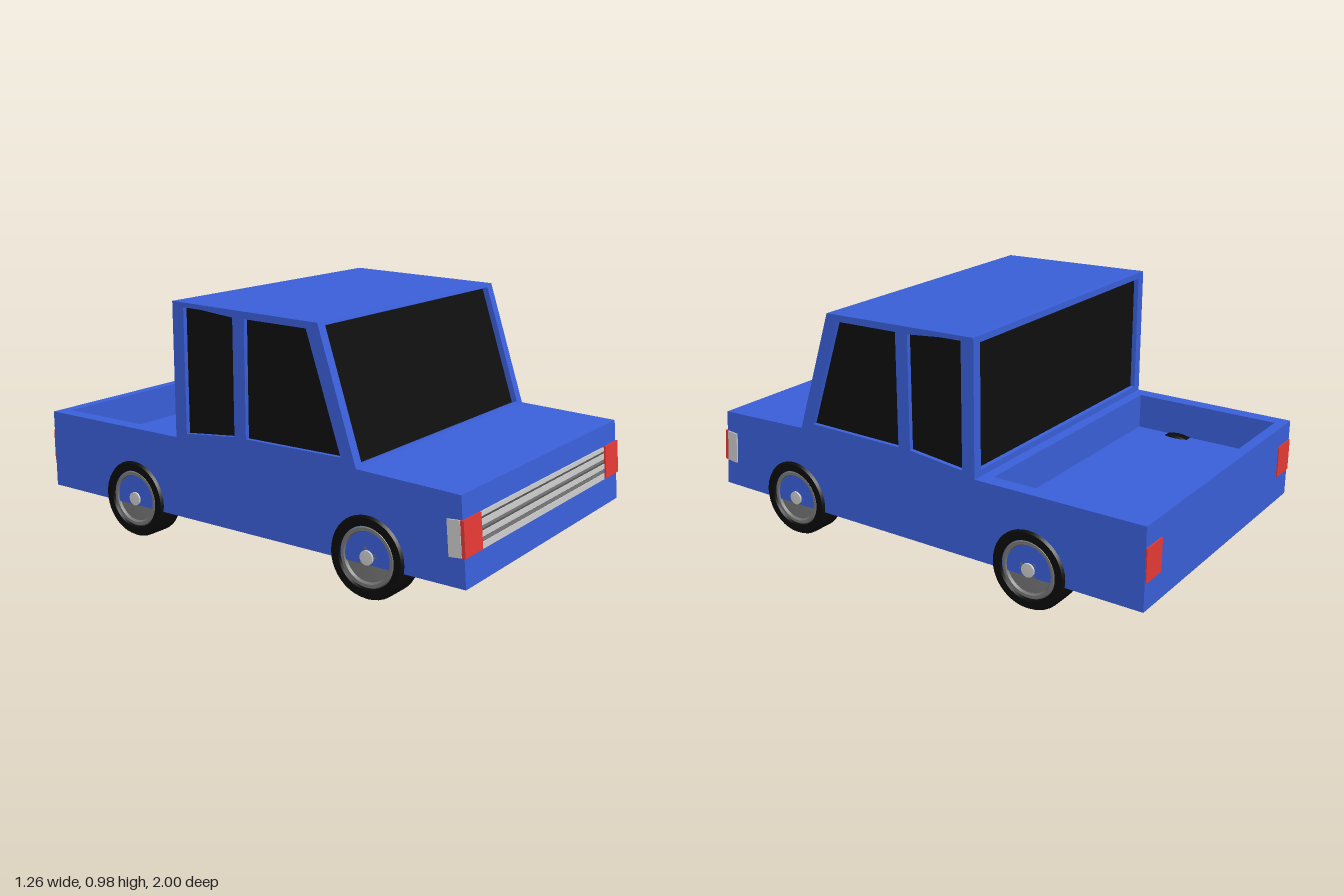
import * as THREE from 'three';
import { toCreasedNormals } from 'three/addons/utils/BufferGeometryUtils.js';

const paint = (color, extra = {}) => new THREE.MeshStandardMaterial({ color, ...extra });
const BLUE = paint(0x3a5fd9), GLASS = paint(0x0e0e0e), RUBBER = paint(0x0b0b0b);
const RED = paint(0xe53935), LIGHT = paint(0xcccccc), MID = paint(0x777777), DARK = paint(0x555555);
const HW = 0.615; // half width of the body

const shapeOf = (pts) => new THREE.Shape(pts.map(([a, b]) => new THREE.Vector2(a, b)));

function add(parent, name, geometry, material) {
  const mesh = new THREE.Mesh(geometry, material);
  mesh.name = name;
  parent.add(mesh);
  return mesh;
}

function box(parent, name, material, [w, h, d], [x, y, z]) {
  const mesh = add(parent, name, new THREE.BoxGeometry(w, h, d), material);
  mesh.position.set(x, y, z);
  return mesh;
}

// Side outline given as [z, y], swept across the car from x0 to x1
function sweep(parent, name, material, pts, x0, x1, holes = []) {
  const shape = shapeOf(pts);
  shape.holes = holes.map(shapeOf);
  const geo = new THREE.ExtrudeGeometry(shape, { depth: x1 - x0, bevelEnabled: false });
  geo.rotateY(-Math.PI / 2).translate(x1, 0, 0);
  return add(parent, name, geo, material);
}

// Flat window surround whose outer face lies on its local z = 0
function windowFrame(parent, name, height, halfHole, low, high) {
  const shape = shapeOf([[-HW, 0], [HW, 0], [HW, height], [-HW, height]]);
  shape.holes = [shapeOf([[-halfHole, low], [halfHole, low], [halfHole, high], [-halfHole, high]])];
  const geo = new THREE.ExtrudeGeometry(shape, { depth: 0.024, bevelEnabled: false });
  return add(parent, name, geo.translate(0, 0, -0.024), BLUE);
}

function lathe(parent, name, material, pts) {
  const geo = new THREE.LatheGeometry(pts.map(([r, y]) => new THREE.Vector2(r, y)), 40);
  return add(parent, name, toCreasedNormals(geo, 0.5), material);
}

// Wheel with its axis on local y, outer face at the top
function makeWheel(name) {
  const wheel = new THREE.Group();
  wheel.name = name;
  lathe(wheel, 'tyre', RUBBER, [[0, 0], [0.148, 0], [0.157, 0.01], [0.157, 0.1], [0.148, 0.115], [0.118, 0.115], [0.114, 0.1]]);
  lathe(wheel, 'rim', MID, [[0.116, 0.1], [0.11, 0.109], [0.098, 0.109], [0.092, 0.1], [0.04, 0.104], [0, 0.104]]);
  lathe(wheel, 'hubCap', LIGHT, [[0.027, 0.1], [0.027, 0.112], [0, 0.113]]);
  return wheel;
}

export function createModel() {
  const root = new THREE.Group();
  root.name = 'pickupTruck';
  const car = new THREE.Group();
  car.name = 'truck';
  car.position.x = -0.006;
  car.rotation.y = 0.005;
  root.add(car);

  // Lower body with a notch for the load bed, closed by the bed sides
  sweep(car, 'lowerBody', BLUE, [
    [0.998, 0.13], [0.97, 0.455], [0.55, 0.47], [0.52, 0.455], [-0.295, 0.45], [-0.338, 0.45],
    [-0.338, 0.305], [-0.952, 0.305], [-0.952, 0.45], [-0.995, 0.45], [-0.995, 0.13],
  ], -HW, HW);
  for (const s of [-1, 1]) {
    box(car, s > 0 ? 'leftBedSide' : 'rightBedSide', BLUE, [0.06, 0.145, 0.614], [s * (HW - 0.03), 0.3775, -0.645]);
  }

  // Cab: dark glazed core behind painted surrounds
  sweep(car, 'cabGlass', GLASS, [[0.522, 0.455], [0.36, 0.95], [-0.275, 0.965], [-0.275, 0.45]], -HW + 0.018, HW - 0.018);
  const cabSide = [[0.55, 0.47], [0.385, 0.965], [-0.295, 0.98], [-0.295, 0.45], [0.52, 0.455]];
  const sideWindows = [
    [[0.485, 0.5], [0.335, 0.94], [0.055, 0.945], [0.055, 0.497]],
    [[0, 0.497], [0, 0.945], [-0.24, 0.967], [-0.24, 0.472]],
  ];
  sweep(car, 'leftCabSide', BLUE, cabSide, HW - 0.02, HW, sideWindows);
  sweep(car, 'rightCabSide', BLUE, cabSide, -HW, -HW + 0.02, sideWindows);
  sweep(car, 'roof', BLUE, [[0.385, 0.965], [-0.295, 0.98], [-0.295, 0.962], [0.375, 0.947]], -HW, HW);

  const windshield = windowFrame(car, 'windshieldFrame', Math.hypot(0.165, 0.495), 0.575, 0.012, 0.508);
  windshield.position.set(0, 0.47, 0.55);
  windshield.rotation.x = -Math.atan2(0.165, 0.495);
  const rearWindow = windowFrame(car, 'rearWindowFrame', 0.53, 0.575, 0.025, 0.505);
  rearWindow.position.set(0, 0.45, -0.295);
  rearWindow.rotation.y = Math.PI;

  // Front face: grille slats and lamps on the leaning nose
  const nose = new THREE.Group();
  nose.name = 'nose';
  nose.position.set(0, 0.13, 0.998);
  nose.rotation.x = -Math.atan2(0.028, 0.325);
  car.add(nose);
  box(nose, 'grilleBack', DARK, [0.99, 0.13, 0.006], [-0.008, 0.176, 0]);
  [[0.233, 0.016], [0.204, 0.022], [0.163, 0.02], [0.123, 0.024]].forEach(([y, h]) =>
    box(nose, 'grilleSlat', LIGHT, [0.99, h, 0.014], [-0.008, y, 0]));
  for (const y of [0.187, 0.143]) box(nose, 'grilleRib', MID, [0.99, 0.012, 0.01], [-0.008, y, 0]);
  for (const s of [-1, 1]) {
    box(nose, 'frontLamp', RED, [0.118, 0.131, 0.014], [s * 0.561, 0.176, 0]);
    box(nose, 'sideLamp', LIGHT, [0.012, 0.131, 0.05], [s * HW, 0.176, -0.033]);
    box(car, 'tailLamp', RED, [0.11, 0.13, 0.01], [s * 0.559, 0.305, -0.995]);
  }

  // Wheels
  for (const [end, z] of [['front', 0.6], ['rear', -0.53]]) {
    for (const s of [-1, 1]) {
      const wheel = makeWheel(end + (s > 0 ? 'LeftWheel' : 'RightWheel'));
      wheel.rotation.z = -s * Math.PI / 2;
      wheel.position.set(s * 0.511, 0.157, z);
      car.add(wheel);
    }
  }
  return root;
}
